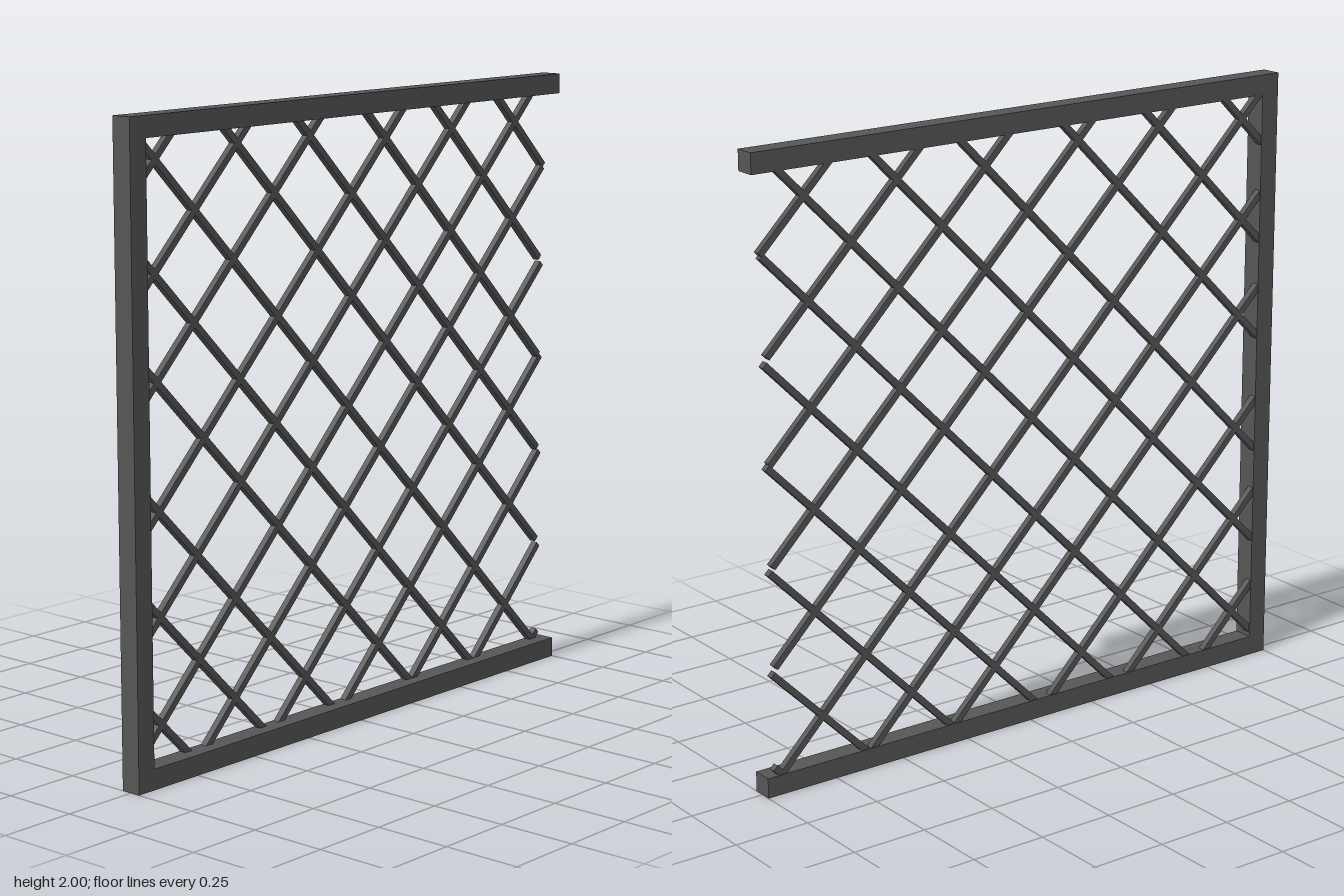
import * as THREE from 'three';

export function createModel() {
  const model = new THREE.Group();
  model.name = 'latticePanel';
  const metal = new THREE.MeshStandardMaterial({ color: 0x565656 });
  metal.name = 'dark grey metal';

  const addBox = (name, parent, size, position, angle = 0) => {
    const mesh = new THREE.Mesh(new THREE.BoxGeometry(...size), metal);
    mesh.name = name;
    mesh.position.set(...position);
    mesh.rotation.z = angle;
    parent.add(mesh);
  };

  // Three-sided frame, open on the +x side
  const bar = 0.065, depth = 0.068;
  addBox('topRail', model, [2, bar, depth], [0, 2 - bar / 2, 0]);
  addBox('bottomRail', model, [2, bar, depth], [0, bar / 2, 0]);
  addBox('sidePost', model, [bar, 2 - 2 * bar, depth], [-1 + bar / 2, 1, 0]);

  // Diagonal strands, clipped to the opening and tucked slightly into the frame
  const lattice = new THREE.Group();
  lattice.name = 'lattice';
  model.add(lattice);
  const left = -0.95, low = 0.05, high = 1.95, width = 0.021, thick = 0.022;

  // slope +1: y = x + offset; slope -1: y = offset - x
  const addStrand = (name, slope, offset, right) => {
    const xAt = (y) => (y - offset) * slope;
    const x0 = Math.max(left, Math.min(xAt(low), xAt(high)));
    const x1 = Math.min(right, Math.max(xAt(low), xAt(high)));
    const x = (x0 + x1) / 2;
    addBox(name, lattice, [(x1 - x0) * Math.SQRT2, width, thick],
      [x, slope * x + offset, -0.02], slope * Math.PI / 4);
  };

  const rising = [-0.88, -0.575, -0.25, 0.08, 0.395, 0.72, 1.03, 1.36, 1.68, 2.07, 2.395, 2.72];
  const falling = [-0.68, -0.35, -0.03, 0.355, 0.67, 1.01, 1.375, 1.695, 2.015, 2.345, 2.67];
  rising.forEach((d) => addStrand('risingStrand', 1, d, 0.97));
  falling.forEach((c) => addStrand('fallingStrand', -1, c, c > 2.5 ? 0.975 : 0.96));

  return model;
}
